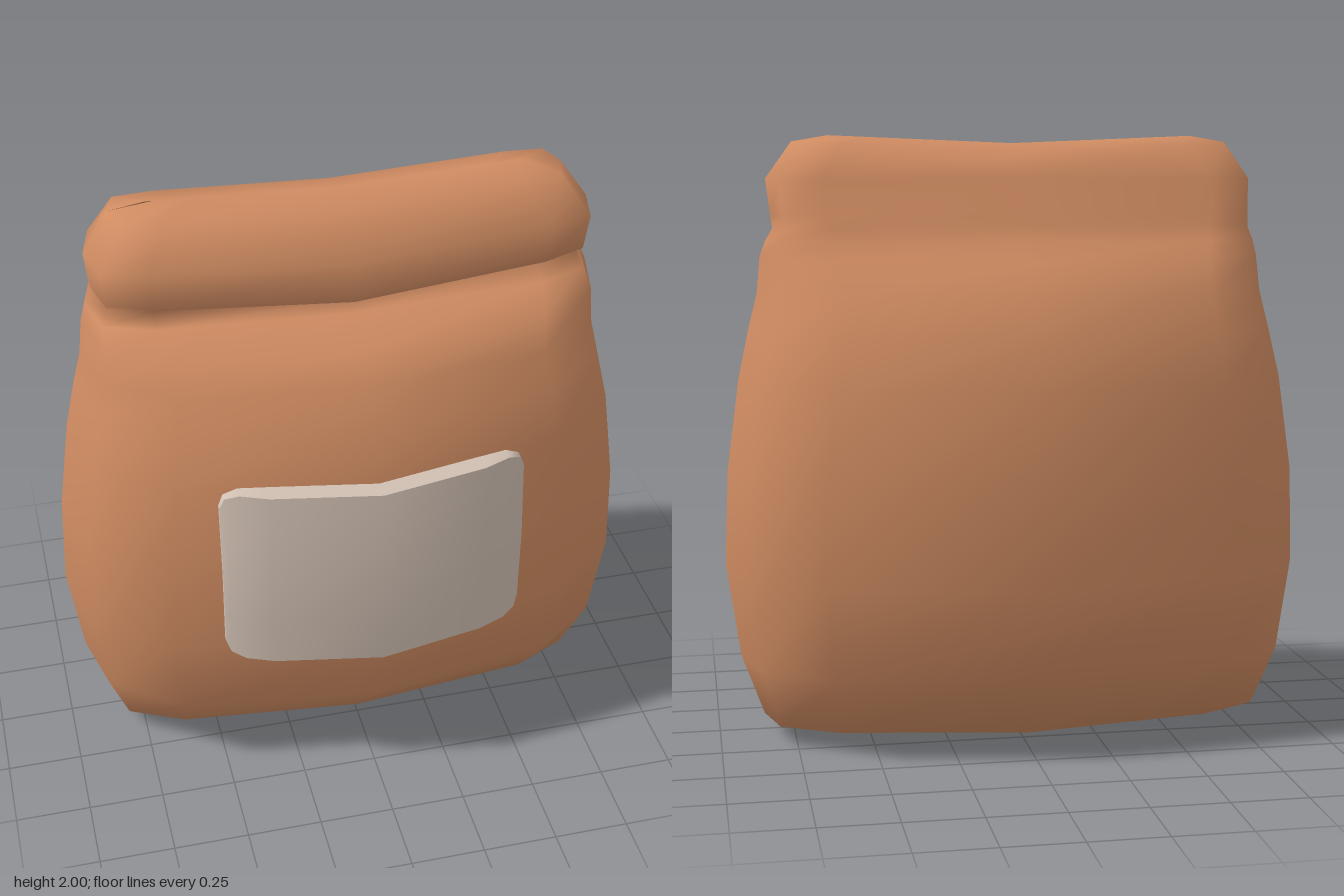
import * as THREE from 'three';
import { mergeVertices } from 'three/addons/utils/BufferGeometryUtils.js';

const lerp = THREE.MathUtils.lerp;

// Quarter outline of the bag's cross-section: soft belly and boxier rolled top
const BELLY = [[0, 1], [0.69, 0.8], [0.94, 0.45], [1, 0]];
const ROLL = [[0, 1], [0.79, 0.9], [0.96, 0.72], [1, 0]];

// Rings: yFront, ySide, yBack, halfWidth, zFront, zBack, boxiness
const RINGS = [
  [0, 0, 0, 0.67, -0.03, -0.03, 1],
  [0.04, 0.065, 0.04, 0.85, 0.26, -0.33, 0.4],
  [0.3, 0.27, 0.3, 0.925, 0.49, -0.56, 0],
  [0.57, 0.59, 0.57, 0.97, 0.53, -0.595, 0],
  [0.9, 0.9, 0.9, 0.957, 0.54, -0.61, 0],
  [1.21, 1.21, 1.21, 0.915, 0.51, -0.575, 0],
  [1.37, 1.37, 1.37, 0.88, 0.455, -0.525, 0],
  [1.5, 1.49, 1.5, 0.85, 0.395, -0.46, 0.1],
  [1.58, 1.61, 1.59, 0.838, 0.32, -0.37, 0.35],
  [1.65, 1.66, 1.66, 0.82, 0.2, -0.295, 0.7],
  [1.67, 1.7, 1.71, 0.798, 0.135, -0.27, 0.9],
  [1.68, 1.74, 1.76, 0.802, 0.183, -0.248, 1],
  [1.82, 1.86, 1.86, 0.815, 0.19, -0.2, 1],
  [1.96, 1.98, 1.94, 0.73, 0.095, -0.16, 1],
  [1.975, 2, 1.975, 0.61, -0.03, -0.03, 1],
];

// Loft the rings, starting at the front and going round by the left side
function bagGeometry() {
  const N = 12;
  const pos = [], index = [];
  RINGS.forEach(([yF, yS, yB, w, zF, zB, k], j) => {
    const mid = (zF + zB) / 2, half = (zF - zB) / 2;
    for (let i = 0; i < N; i++) {
      const q = i <= 3 ? i : i <= 6 ? 6 - i : i <= 9 ? i - 6 : 12 - i;
      const px = lerp(BELLY[q][0], ROLL[q][0], k);
      const pz = lerp(BELLY[q][1], ROLL[q][1], k);
      const sx = i < 6 ? 1 : -1;
      const back = i > 3 && i < 9;
      pos.push(px * w * sx, lerp(yS, back ? yB : yF, 1 - px), mid + (back ? -1 : 1) * pz * half);
      if (j < RINGS.length - 1) {
        const n = (i + 1) % N;
        const a = j * N + i, b = j * N + n, c = b + N, d = a + N;
        index.push(a, b, c, a, c, d);
      }
    }
  });
  const g = new THREE.BufferGeometry();
  g.setAttribute('position', new THREE.Float32BufferAttribute(pos, 3));
  g.setIndex(index);
  // Welds the closing ridges at top and bottom
  const welded = mergeVertices(g, 1e-4);
  welded.computeVertexNormals();
  return welded;
}

// Rounded plate bent round the belly; columns: x, half height, front z
function labelGeometry() {
  const COLS = [[0, 0.325, 0.607], [0.35, 0.325, 0.542], [0.44, 0.325, 0.505], [0.485, 0.305, 0.482], [0.5, 0.265, 0.47]];
  const g = new THREE.BoxGeometry(8, 2, 1, 8, 4, 1);
  const p = g.attributes.position;
  for (let i = 0; i < p.count; i++) {
    const c = Math.round(p.getX(i));
    const [x, h, z] = COLS[Math.abs(c)];
    const y = 0.887 + p.getY(i) * h;
    const lean = y > 0.9 ? -0.09 * (y - 0.9) : -0.015 * (0.9 - y);
    p.setXYZ(i, Math.sign(c) * x, y, z + lean + (p.getZ(i) > 0 ? 0 : -0.065));
  }
  g.computeVertexNormals();
  return g;
}

export function createModel() {
  const kraft = new THREE.MeshStandardMaterial({ color: 0xd08c62 });
  kraft.name = 'kraft brown';
  const paper = new THREE.MeshStandardMaterial({ color: 0xd0bfb2 });
  paper.name = 'pale paper';

  const group = new THREE.Group();
  group.name = 'paperBag';
  const bag = new THREE.Mesh(bagGeometry(), kraft);
  bag.name = 'bagBody';
  const label = new THREE.Mesh(labelGeometry(), paper);
  label.name = 'frontLabel';
  group.add(bag, label);
  return group;
}
